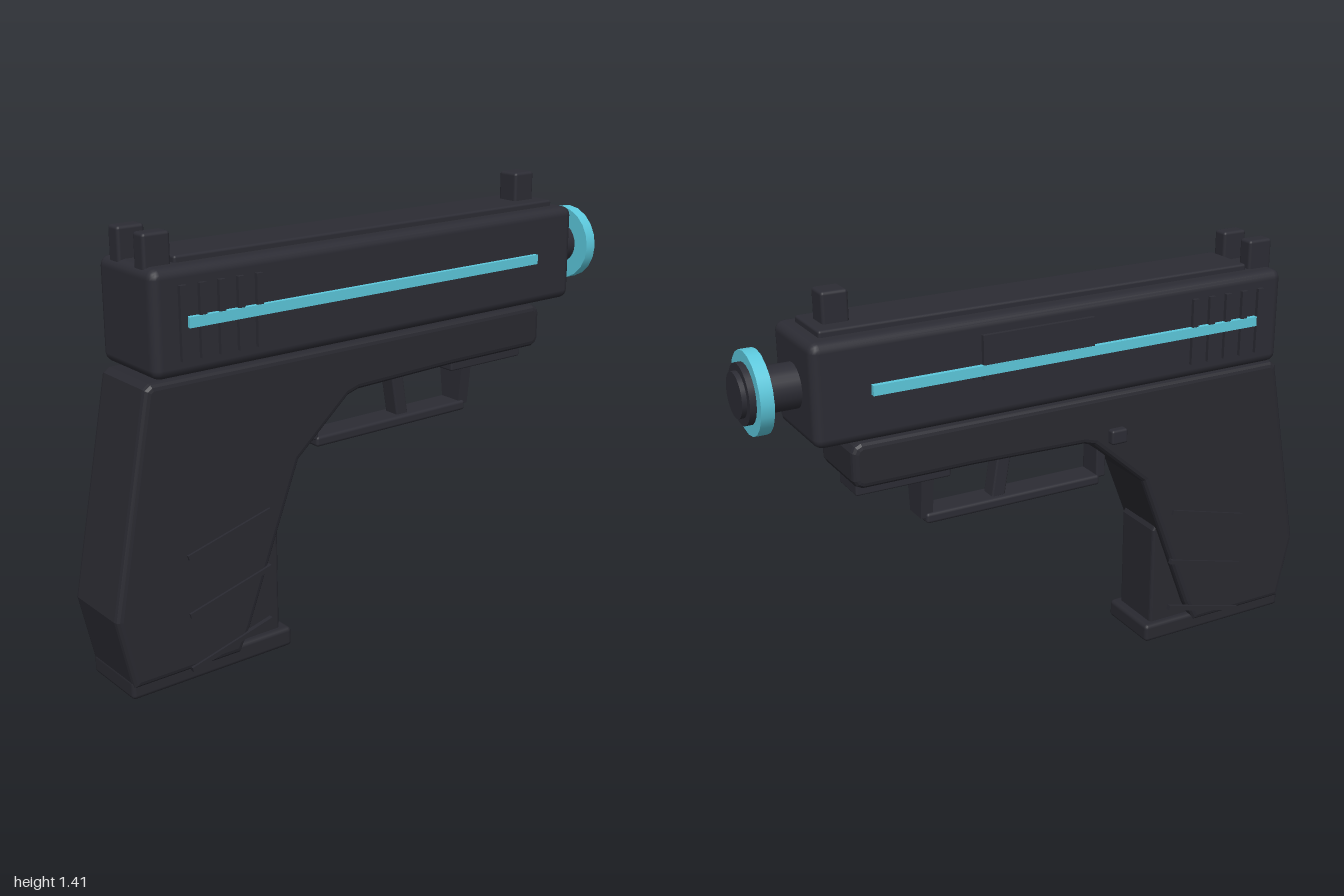
import * as THREE from 'three';
import { RoundedBoxGeometry } from 'three/addons/geometries/RoundedBoxGeometry.js';

export function createModel() {
  const group = new THREE.Group();
  const material = (name, color) => {
    const m = new THREE.MeshStandardMaterial({ color });
    m.name = name;
    return m;
  };
  const dark = material('charcoal', 0x2c2c34);
  const grip = material('grip black', 0x292930);
  const cyan = material('cyan', 0x5cc8dc);

  const add = (name, geometry, mat) => {
    const mesh = new THREE.Mesh(geometry, mat);
    mesh.name = name;
    group.add(mesh);
    return mesh;
  };
  // Box given by its extents; r rounds the edges
  const box = (name, mat, x0, x1, y0, y1, z0, z1, r = 0) => {
    const s = [x1 - x0, y1 - y0, z1 - z0];
    const g = r ? new RoundedBoxGeometry(...s, 2, r) : new THREE.BoxGeometry(...s);
    const mesh = add(name, g, mat);
    mesh.position.set((x0 + x1) / 2, (y0 + y1) / 2, (z0 + z1) / 2);
    return mesh;
  };
  // Side profile extruded across z, with bevelled edges kept inside the outline
  const extrude = (name, mat, points, halfWidth, bevel) => {
    const shape = new THREE.Shape(points.map(([x, y]) => new THREE.Vector2(x, y)));
    const g = new THREE.ExtrudeGeometry(shape, {
      depth: 2 * (halfWidth - bevel), bevelEnabled: true, bevelThickness: bevel,
      bevelSize: bevel, bevelOffset: -bevel, bevelSegments: 3,
    });
    g.translate(0, 0, -halfWidth + bevel);
    return add(name, g, mat);
  };
  // Cylinder along x
  const disc = (name, mat, x0, x1, r, sides = 24) => {
    const g = new THREE.CylinderGeometry(r, r, x1 - x0, sides);
    g.rotateZ(-Math.PI / 2);
    const mesh = add(name, g, mat);
    mesh.position.set((x0 + x1) / 2, 1.14, 0);
    return mesh;
  };

  // Slide with top rib and sights
  box('slide', dark, -0.85, 0.82, 0.98, 1.3, -0.152, 0.152, 0.03);
  box('topRib', dark, -0.74, 0.77, 1.28, 1.32, -0.095, 0.095, 0.008);
  box('frontSight', dark, 0.65, 0.735, 1.29, 1.415, -0.04, 0.04, 0.01);
  for (const s of [-1, 1]) {
    box('rearSight', dark, -0.84, -0.75, 1.28, 1.395, s * 0.07 - 0.028, s * 0.07 + 0.028, 0.01);
  }

  // Side stripes, slide serrations and slanted grip ridges
  for (const s of [-1, 1]) {
    box('sideStripe', cyan, -0.74, 0.64, 1.125, 1.157, s * 0.159 - 0.009, s * 0.159 + 0.009);
    for (let i = 0; i < 5; i++) {
      const x = -0.755 + i * 0.065;
      box('serration', dark, x - 0.011, x + 0.011, 1.03, 1.25, s * 0.155 - 0.01, s * 0.155 + 0.01);
    }
    for (const y of [0.085, 0.265, 0.455]) {
      const ridge = box('gripRidge', grip, -0.76, -0.45, y - 0.008, y + 0.008, s * 0.13 - 0.008, s * 0.13 + 0.008);
      ridge.rotation.z = 0.26;
    }
  }
  box('ejectionPort', dark, -0.11, 0.28, 1.11, 1.25, -0.166, -0.14);

  // Barrel and muzzle ring
  disc('barrel', dark, 0.78, 0.93, 0.07);
  disc('muzzleRing', cyan, 0.924, 0.965, 0.128, 20);
  disc('muzzleDisc', dark, 0.94, 0.985, 0.093);
  disc('muzzleCap', dark, 0.96, 1, 0.07);

  // Frame and grip in one profile
  extrude('frame', grip, [
    [-0.85, 0.97], [-0.87, 0.955], [-1, 0.27], [-0.95, 0.04], [-0.57, 0.04],
    [-0.53, 0.12], [-0.42, 0.41], [-0.335, 0.63], [-0.14, 0.8], [-0.1, 0.812],
    [0.3, 0.822], [0.67, 0.822], [0.69, 0.832], [0.7, 0.85], [0.7, 0.94],
    [0.69, 0.96], [0.67, 0.97],
  ], 0.13, 0.02);
  box('magazineRelease', dark, -0.25, -0.19, 0.8, 0.85, -0.155, -0.12, 0.008);

  // Magazine and its base plate
  extrude('magazine', grip, [
    [-0.7, 0.04], [-0.402, 0.04], [-0.402, 0.42], [-0.41, 0.435], [-0.55, 0.435],
  ], 0.097, 0.01);
  box('magazineBase', grip, -0.955, -0.37, 0, 0.065, -0.12, 0.12, 0.014);

  // Accessory rail, trigger guard and trigger
  box('rail', dark, 0.35, 0.67, 0.775, 0.835, -0.065, 0.065, 0.006);
  box('guardBottom', dark, -0.21, 0.43, 0.62, 0.655, -0.05, 0.05, 0.01);
  box('guardRear', dark, -0.235, -0.2, 0.645, 0.78, -0.045, 0.045, 0.006);
  // Front post narrows toward the bottom
  const post = box('guardFront', dark, 0.405, 0.447, 0.64, 0.79, -0.057, 0.057);
  const p = post.geometry.attributes.position;
  for (let i = 0; i < p.count; i++) if (p.getY(i) < 0) p.setZ(i, p.getZ(i) * 0.7);
  post.geometry.computeVertexNormals();
  extrude('trigger', dark, [[0.11, 0.83], [0.14, 0.65], [0.188, 0.65], [0.158, 0.83]], 0.03, 0.006);

  return group;
}
